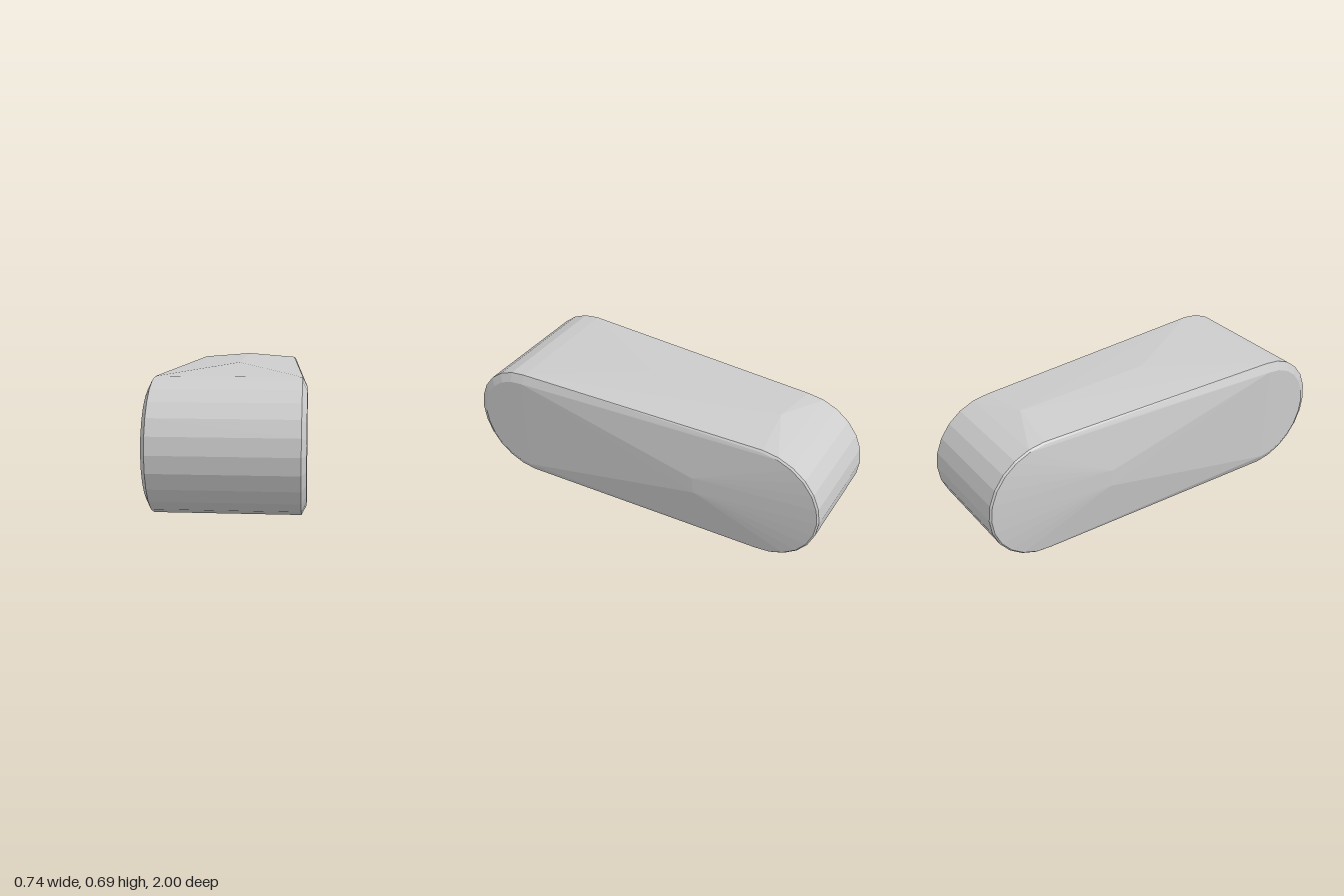
import * as THREE from 'three';
import { ConvexGeometry } from 'three/addons/geometries/ConvexGeometry.js';

const MID = 0.3465; // height of the centre line

// Half ring of points in the plane x, bulging towards +z (dir 1) or -z (dir -1)
function halfRing(x, centreZ, radius, dir) {
  const points = [];
  for (let i = 0; i <= 12; i++) {
    const a = -Math.PI / 2 + (i * Math.PI) / 12;
    points.push(new THREE.Vector3(
      x,
      MID + radius * Math.sin(a),
      dir * (centreZ + radius * Math.cos(a)),
    ));
  }
  return points;
}

export function createModel() {
  const group = new THREE.Group();
  group.name = 'taperedPad';

  const points = [];
  for (const side of [-1, 1]) {
    points.push(
      // wide front end: outer edge, then bevelled side face
      ...halfRing(side * 0.345, 0.6785, 0.3215, 1),
      ...halfRing(side * 0.368, 0.685, 0.275, 1),
      // narrow rear end with a slim bevel
      ...halfRing(side * 0.27, 0.6785, 0.3215, -1),
      ...halfRing(side * 0.279, 0.6785, 0.313, -1),
      // slight swell of the side faces
      new THREE.Vector3(side * 0.345, 0.4, -0.34),
      new THREE.Vector3(side * 0.345, 0.31, -0.35),
    );
  }
  // shallow crowns along the top and underside
  points.push(
    new THREE.Vector3(0, 0.692, 0.1),
    new THREE.Vector3(0, 0.692, -0.645),
    new THREE.Vector3(0, 0, 0.4),
    new THREE.Vector3(0, 0, -0.645),
  );

  const body = new THREE.Mesh(
    new ConvexGeometry(points),
    new THREE.MeshStandardMaterial({ color: 0xcccccc, flatShading: true }),
  );
  body.name = 'body';
  group.add(body);
  return group;
}
